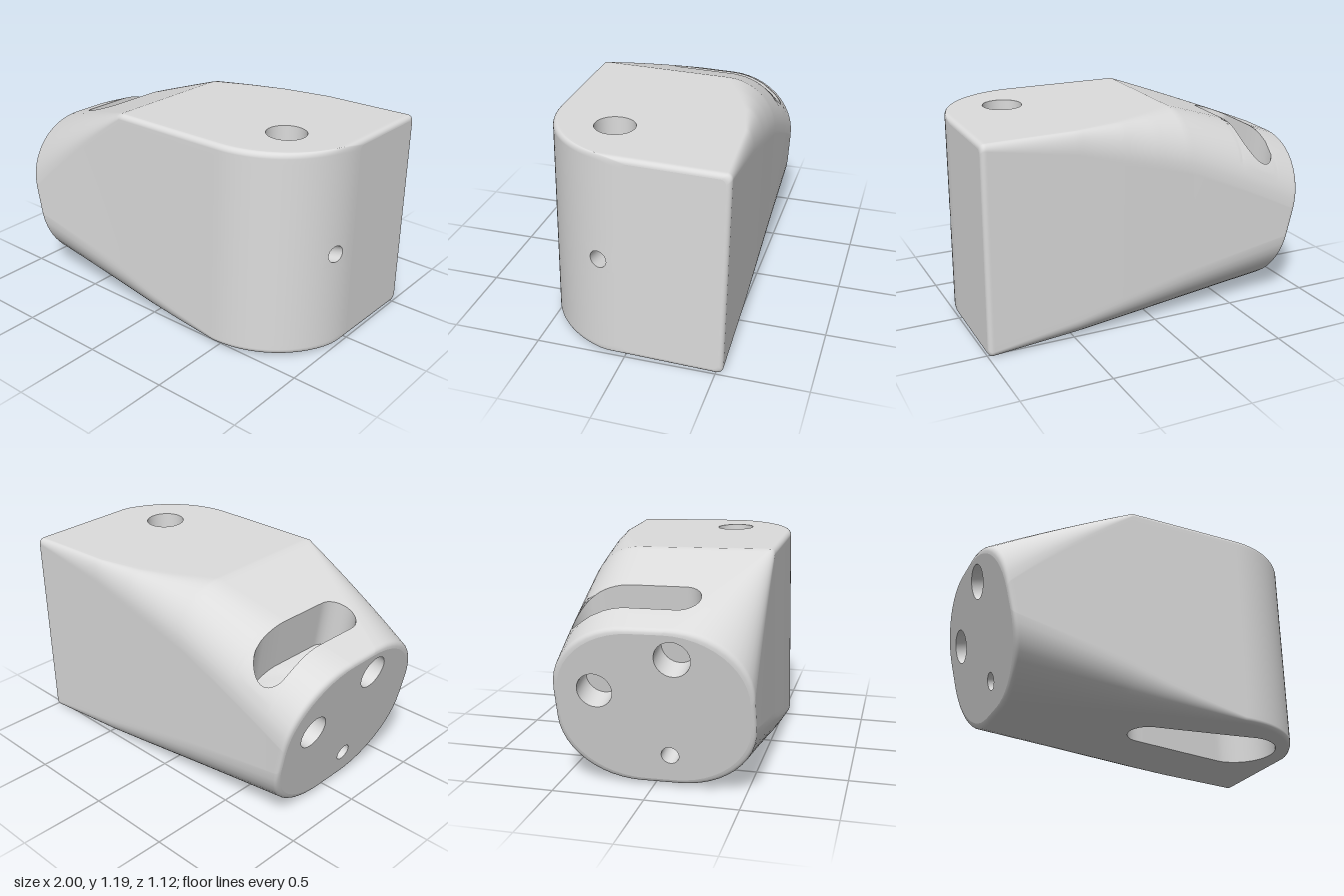
import * as THREE from 'three';

const lerp = THREE.MathUtils.lerp;
const V = (x, y, z) => new THREE.Vector3(x, y, z);

// Section stations along x: p, zBack, zFront, yBottom, yTop, then corner radii
// (z, y) for top back, top front, bottom front, bottom back
const STATIONS = [
  [-0.905, -0.51, 0.555, 0.02, 0.9, 0.43, 0.36, 0.43, 0.36, 0.43, 0.36, 0.43, 0.36],
  [-0.2, -0.525, 0.54, 0.015, 1.18, 0.29, 0.3, 0.03, 0.03, 0.2, 0.2, 0.28, 0.25],
  [0, -0.53, 0.538, 0.014, 1.18, 0.19, 0.24, 0.03, 0.03, 0.14, 0.14, 0.23, 0.21],
  [0.2, -0.535, 0.535, 0.013, 1.18, 0.11, 0.19, 0.03, 0.03, 0.09, 0.09, 0.18, 0.17],
  [0.47, -0.54, 0.53, 0.012, 1.18, 0.05, 0.12, 0.03, 0.03, 0.03, 0.03, 0.12, 0.11],
  [1, -0.55, 0.53, 0.012, 1.18, 0.03, 0.03, 0.03, 0.03, 0.03, 0.03, 0.03, 0.03],
];
const FLAT = 36, CORNER = 12, AROUND = 4 * (FLAT + CORNER);
const NECK = 46, MID = 28, ARC = 30, COLS = NECK + MID + ARC;

// Left end plane, tilted back towards the bottom
const planeX = y => -0.905 - 0.227 * (y - 0.46);

// Rounded edge: how far the section shrinks at distance d from an end
const edgeInset = (d, r) => d >= r ? 0 : r * (1 - Math.sqrt(1 - (1 - d / r) ** 2));

// Point on the body skin; i runs along x, j runs around the section
function skin(i, j) {
  let p, phi = 0;
  if (i <= NECK) p = lerp(-0.905, -0.2, (i / NECK) ** 1.5);
  else if (i <= NECK + MID) p = lerp(-0.2, 0.47, (i - NECK) / MID);
  else {
    phi = (i - NECK - MID) / ARC * Math.PI / 2;
    p = 0.47 + 0.53 * Math.sin(phi);
  }
  let k = 0;
  while (k < STATIONS.length - 2 && p > STATIONS[k + 1][0]) k++;
  const a = STATIONS[k], b = STATIONS[k + 1], f = (p - a[0]) / (b[0] - a[0]);
  let [, zb, zf, yb, yt, ...r] = a.map((v, n) => lerp(v, b[n], f));
  if (phi) zf = 0.53 * Math.cos(phi);
  const left = edgeInset(p + 0.905, 0.022);
  const inset = left + edgeInset(Math.max(0, 1 - p), 0.027);
  zb += inset; yb += inset; yt -= inset; zf -= left;

  const corner = (q, t) => {
    const rz = r[2 * q], ry = r[2 * q + 1], th = (q + t) * Math.PI / 2;
    const cz = q === 0 || q === 3 ? zb + rz : zf - rz;
    const cy = q < 2 ? yt - ry : yb + ry;
    return [cz - rz * Math.cos(th), cy + ry * Math.sin(th)];
  };
  const J = (j + FLAT / 2 + AROUND) % AROUND;
  const q = Math.floor(J / (FLAT + CORNER)), s = J - q * (FLAT + CORNER);
  let z, y;
  if (s < FLAT) {
    const m = corner((q + 3) % 4, 1), n = corner(q, 0);
    z = lerp(m[0], n[0], s / FLAT);
    y = lerp(m[1], n[1], s / FLAT);
  } else [z, y] = corner(q, (s - FLAT) / CORNER);
  // The whole body leans very slightly backwards
  [y, z] = [y + 0.02 * z, z - 0.02 * (y - 0.6)];
  const tilt = Math.max(0, (-0.2 - p) / 0.705);
  return V(p - 0.227 * tilt * (y - 0.46), y, z);
}

// Signed distance to a tapered capsule in a plane
function capsule(u, v, [au, av, ra], [bu, bv, rb]) {
  const du = bu - au, dv = bv - av;
  const t = Math.min(1, Math.max(0, ((u - au) * du + (v - av) * dv) / (du * du + dv * dv)));
  return Math.hypot(u - au - du * t, v - av - dv * t) - lerp(ra, rb, t);
}

// Openings in the skin
const OPENINGS = {
  topHole: c => c.y < 0.7 ? 9 : Math.hypot(c.x - 0.645, c.z - 0.145) - 0.11,
  undersidePocket: c => c.y > 0.3 ? 9 : capsule(c.x, c.z, [0.07, 0.15, 0.12], [0.66, 0.14, 0.215]),
  strapSlot: c => c.y < 0.45 ? 9 : capsule(c.x, c.z, [-0.71, -0.36, 0.105], [-0.72, 0.13, 0.105]),
  sideHole: c => c.x < 0.9 ? 9 : Math.hypot(c.z - 0.135, c.y - 0.58) - 0.048,
};

function geometry(points, index) {
  const g = new THREE.BufferGeometry().setFromPoints(points);
  g.setIndex(index);
  g.computeVertexNormals();
  return g;
}

// Body skin with each opening ringed by a fitted patch; also returns the rims
function buildSkin() {
  const pts = [], index = [], rims = {}, rects = [];
  const id = (i, j) => i * AROUND + (j % AROUND);
  for (let i = 0; i <= COLS; i++) for (let j = 0; j < AROUND; j++) pts.push(skin(i, j));

  for (const [name, sdf] of Object.entries(OPENINGS)) {
    let i0 = 1e9, i1 = -1, j0 = 1e9, j1 = -1;
    for (let i = 0; i <= COLS; i++) for (let j = 0; j < AROUND; j++) {
      if (sdf(pts[id(i, j)]) > 0.012) continue;
      i0 = Math.min(i0, i); i1 = Math.max(i1, i);
      j0 = Math.min(j0, j); j1 = Math.max(j1, j);
    }
    i0--; j0--; i1++; j1++;
    rects.push([i0, i1, j0, j1]);
    const outer = [];
    for (let j = j0; j < j1; j++) outer.push([i0, j]);
    for (let i = i0; i < i1; i++) outer.push([i, j1]);
    for (let j = j1; j > j0; j--) outer.push([i1, j]);
    for (let i = i1; i > i0; i--) outer.push([i, j0]);
    const ci = (i0 + i1) / 2, cj = (j0 + j1) / 2, n = outer.length, RINGS = 4;
    const at = ([i, j], t) => skin(lerp(ci, i, t), lerp(cj, j, t));
    const edge = outer.map(o => {
      let lo = 0, hi = 1;
      for (let s = 0; s < 24; s++) {
        const m = (lo + hi) / 2;
        if (sdf(at(o, m)) > 0) hi = m; else lo = m;
      }
      return hi;
    });
    let prev = outer.map(([i, j]) => id(i, j));
    for (let ring = 1; ring <= RINGS; ring++) {
      const cur = outer.map((o, k) => pts.push(at(o, lerp(1, edge[k], ring / RINGS))) - 1);
      for (let k = 0; k < n; k++) {
        const l = (k + 1) % n;
        index.push(prev[k], prev[l], cur[k], prev[l], cur[l], cur[k]);
      }
      prev = cur;
    }
    rims[name] = prev.map(k => pts[k]);
  }

  for (let i = 0; i < COLS; i++) for (let j = 0; j < AROUND; j++) {
    if (rects.some(([a, b, c, d]) => i >= a && i < b && j >= c && j < d)) continue;
    const a = id(i, j), b = id(i, j + 1), c = id(i + 1, j), d = id(i + 1, j + 1);
    index.push(a, b, c, b, d, c);
  }
  return { geo: geometry(pts, index), rims };
}

// Wall running inward from a rim to the points given by a rule
function wall(rim, inner) {
  const n = rim.length, index = [];
  for (let k = 0; k < n; k++) {
    const l = (k + 1) % n;
    index.push(k, l, n + k, l, n + l, n + k);
  }
  return geometry([...rim, ...rim.map(inner)], index);
}

// Fan closing a loop
function fan(loop) {
  const c = loop.reduce((s, p) => s.add(p), V(0, 0, 0)).divideScalar(loop.length);
  const n = loop.length, index = [];
  for (let k = 0; k < n; k++) index.push(n, k, (k + 1) % n);
  return geometry([...loop, c], index);
}

// Flat face with holes, mapped from 2D to space
function face(outline, holes, map) {
  const shape = new THREE.Shape(outline);
  holes.forEach(h => shape.holes.push(new THREE.Path(h)));
  const g = new THREE.ShapeGeometry(shape), pos = g.attributes.position;
  for (let k = 0; k < pos.count; k++) pos.setXYZ(k, ...map(pos.getX(k), pos.getY(k)));
  g.computeVertexNormals();
  return g;
}

export function createModel() {
  const group = new THREE.Group();
  const grey = new THREE.MeshStandardMaterial({ color: 0xdcdcdc, side: THREE.DoubleSide });
  grey.name = 'light grey';
  const add = (name, geo) => {
    const m = new THREE.Mesh(geo, grey);
    m.name = name;
    group.add(m);
  };
  const shifted = s => p => p.clone().add(s);
  const bore = (name, rim, shift) => {
    add(name + 'Wall', wall(rim, shifted(shift)));
    add(name + 'Floor', fan(rim.map(shifted(shift))));
  };

  const { geo, rims } = buildSkin();
  add('body', geo);
  const loop = i => Array.from({ length: AROUND }, (_, j) => skin(i, j));
  add('rightEnd', fan(loop(COLS).reverse()));

  // Underside pocket and the hole that drops into it from the top
  const CEILING = 0.3;
  const drop = p => V(p.x, CEILING, p.z);
  add('topHoleWall', wall(rims.topHole, drop));
  add('pocketWall', wall(rims.undersidePocket, drop));
  const flat = rim => rim.map(p => new THREE.Vector2(p.x, p.z));
  add('pocketCeiling', face(flat(rims.undersidePocket), [flat(rims.topHole)], (x, z) => [x, CEILING, z]));

  // Slot across the slope
  bore('strapSlot', rims.strapSlot, V(0.045, -0.28, 0));

  // Tilted left end with two large holes and one small one
  const holes = [[-0.28, 0.545, 0.095], [0.145, 0.75, 0.095], [0.1, 0.195, 0.048]].map(([z, y, r]) =>
    Array.from({ length: 32 }, (_, k) => {
      const t = k / 16 * Math.PI;
      return new THREE.Vector2(z + r * Math.cos(t), y + r * Math.sin(t));
    }));
  add('leftEnd', face(loop(0).map(p => new THREE.Vector2(p.z, p.y)), holes, (z, y) => [planeX(y), y, z]));
  const [backRim, frontRim, channelRim] = holes.map(h => h.map(p => V(planeX(p.y), p.y, p.x)));
  bore('backEndHole', backRim, V(0.15, 0.034, 0));
  bore('frontEndHole', frontRim, V(0.15, 0.034, 0));

  // Long rising channel from the small end hole to the top hole, and out through the side
  add('longChannel', wall(channelRim, shifted(V(1.39, 0.294, 0.028))));
  add('sideChannel', wall(rims.sideHole, shifted(V(-0.23, -0.049, -0.005))));

  return group;
}
